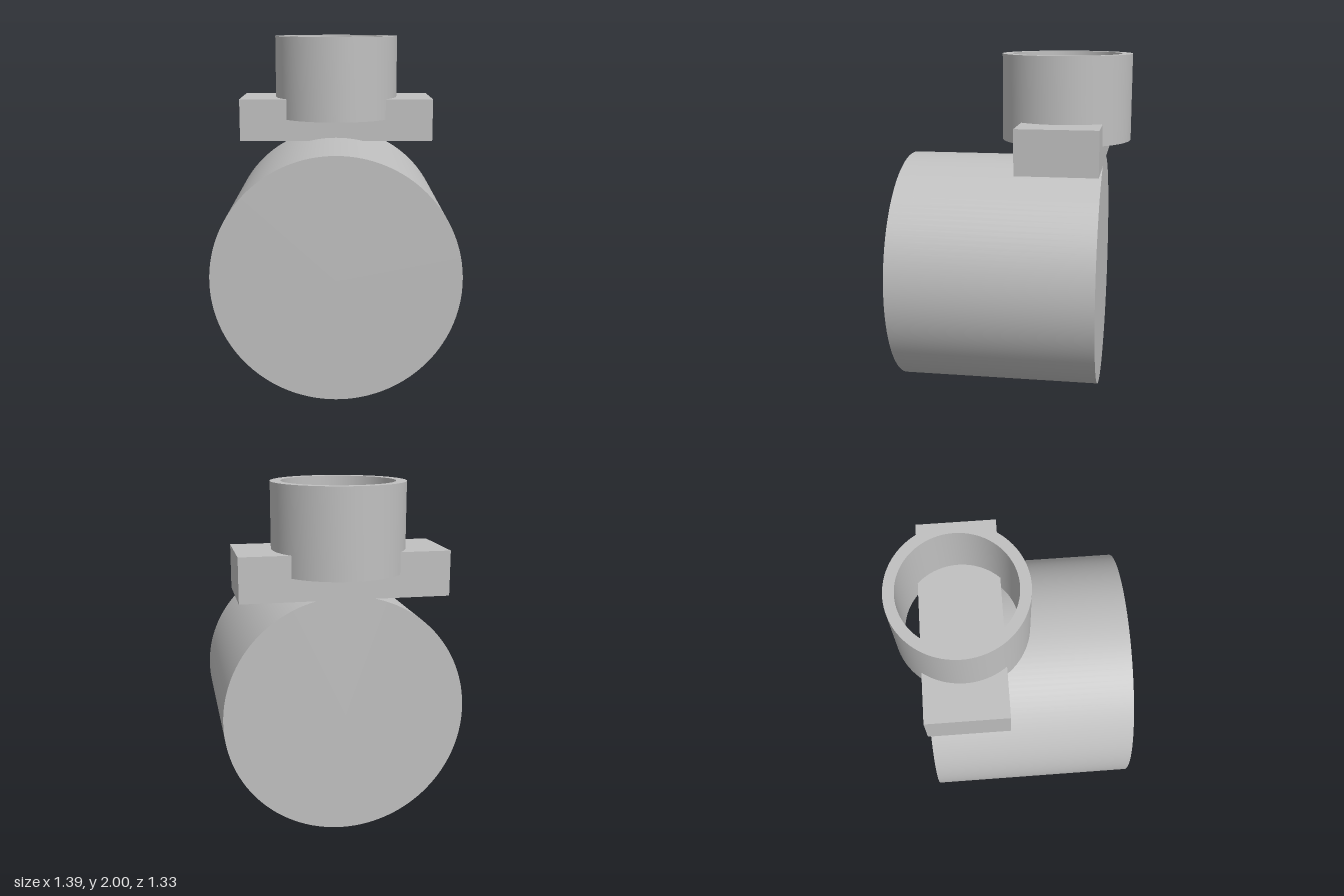
import * as THREE from 'three';
import { toCreasedNormals } from 'three/addons/utils/BufferGeometryUtils.js';

export function createModel() {
  const group = new THREE.Group();
  const grey = new THREE.MeshStandardMaterial({ color: 0xc0c0c0 });
  grey.name = 'grey';

  function add(name, geometry, x, y, z) {
    const mesh = new THREE.Mesh(geometry, grey);
    mesh.name = name;
    mesh.position.set(x, y, z);
    group.add(mesh);
  }

  const back = -0.515;

  // Solid drum lying along z
  const radius = 0.695, length = 1.18;
  const drum = new THREE.CylinderGeometry(radius, radius, length, 128).rotateX(Math.PI / 2);
  add('drum', drum, 0, radius, back + length / 2);

  // Cross bar resting on the drum, flush with its back
  const depth = 0.46;
  add('crossBar', new THREE.BoxGeometry(1.18, 0.255, depth), 0, 1.4975, back + depth / 2);

  // Open collar standing on the bar, walls overhanging front and back
  const outer = 0.38, inner = 0.32, height = 0.5;
  const profile = [[inner, 0], [outer, 0], [outer, height], [inner, height], [inner, 0]]
    .map(([r, y]) => new THREE.Vector2(r, y));
  const collar = toCreasedNormals(new THREE.LatheGeometry(profile, 96), Math.PI / 6);
  add('collar', collar, 0, 1.5, back + depth / 2);

  return group;
}
